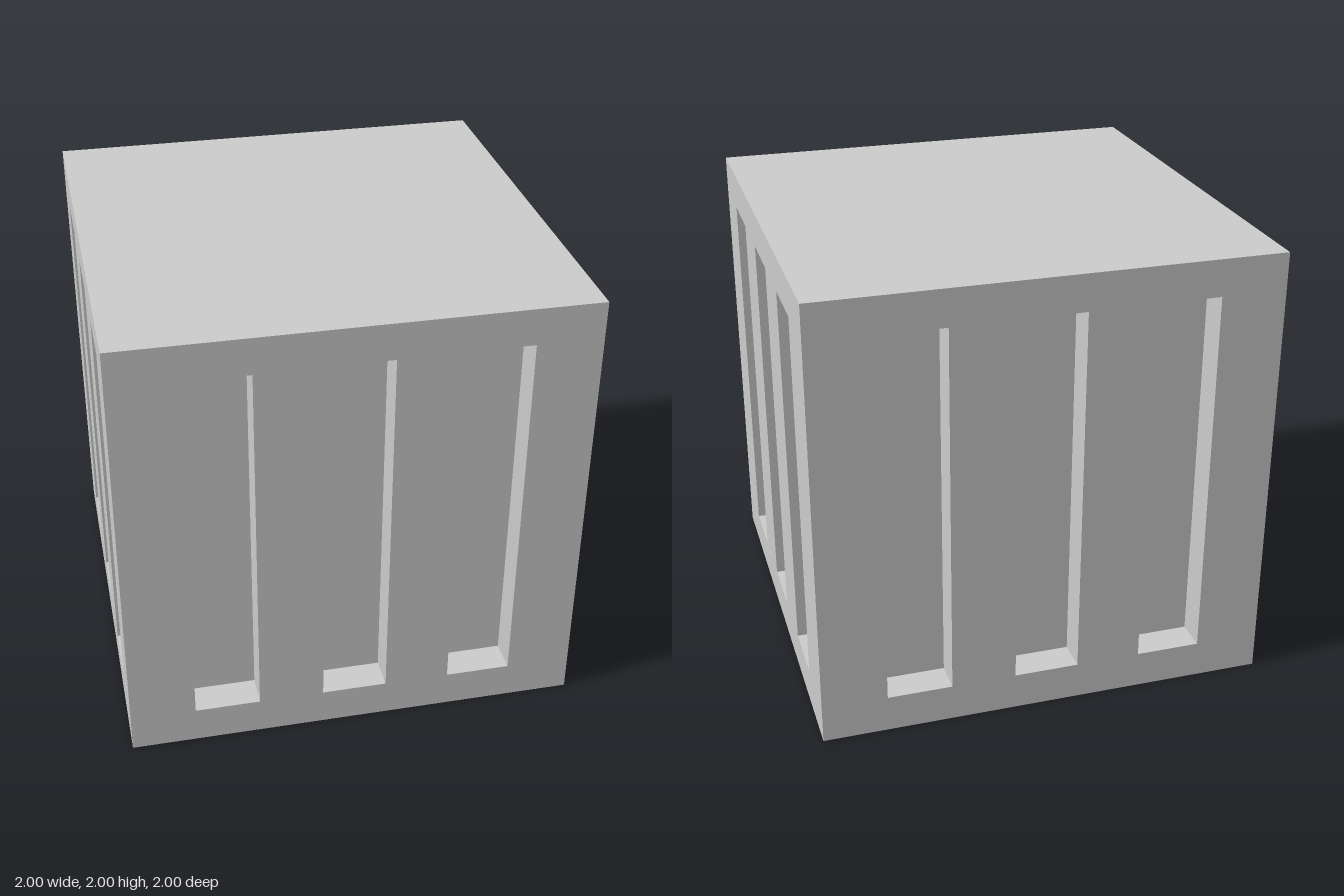
import * as THREE from 'three';
import { mergeGeometries } from 'three/addons/utils/BufferGeometryUtils.js';

const SIZE = 2, HALF = 1;
const SLOT_W = 2 / 7, SLOT_D = 1 / 7, SLOT_BOTTOM = 0.165, SLOT_TOP = 1.838;
const SLOT_H = SLOT_TOP - SLOT_BOTTOM, SLOT_Y = (SLOT_TOP + SLOT_BOTTOM) / 2;
const SLOT_X = [-4 / 7, 0, 4 / 7];

// A flat rectangle, turned and then moved into place
function panel(w, h, rx, ry, x, y, z) {
  return new THREE.PlaneGeometry(w, h).rotateX(rx).rotateY(ry).translate(x, y, z);
}

// Outline of a rectangle added to a shape or hole path
function rect(path, x0, y0, x1, y1) {
  path.moveTo(x0, y0);
  path.lineTo(x1, y0);
  path.lineTo(x1, y1);
  path.lineTo(x0, y1);
  path.closePath();
  return path;
}

// One side wall facing +z, with three blind slots
function slottedWall() {
  const face = rect(new THREE.Shape(), -HALF, 0, HALF, SIZE);
  const parts = [];
  const q = Math.PI / 2, zMid = HALF - SLOT_D / 2;
  for (const x of SLOT_X) {
    const l = x - SLOT_W / 2, r = x + SLOT_W / 2;
    face.holes.push(rect(new THREE.Path(), l, SLOT_BOTTOM, r, SLOT_TOP));
    parts.push(
      panel(SLOT_W, SLOT_H, 0, 0, x, SLOT_Y, HALF - SLOT_D), // back
      panel(SLOT_D, SLOT_H, 0, q, l, SLOT_Y, zMid), // cheeks
      panel(SLOT_D, SLOT_H, 0, -q, r, SLOT_Y, zMid),
      panel(SLOT_W, SLOT_D, -q, 0, x, SLOT_BOTTOM, zMid), // sill
      panel(SLOT_W, SLOT_D, q, 0, x, SLOT_TOP, zMid), // lintel
    );
  }
  parts.push(new THREE.ShapeGeometry(face).translate(0, 0, HALF));
  return mergeGeometries(parts);
}

export function createModel() {
  const group = new THREE.Group();
  group.name = 'slottedCrate';
  const material = new THREE.MeshStandardMaterial({ color: 0xcccccc });
  const add = (name, geometry) => {
    const mesh = new THREE.Mesh(geometry, material);
    mesh.name = name;
    group.add(mesh);
    return mesh;
  };

  // Four identical side walls
  const wall = slottedWall();
  ['frontWall', 'leftWall', 'backWall', 'rightWall'].forEach((name, i) => {
    add(name, wall).rotation.y = i * Math.PI / 2;
  });

  // Plain lid and base
  add('lid', panel(SIZE, SIZE, -Math.PI / 2, 0, 0, SIZE, 0));
  add('base', panel(SIZE, SIZE, Math.PI / 2, 0, 0, 0, 0));
  return group;
}
